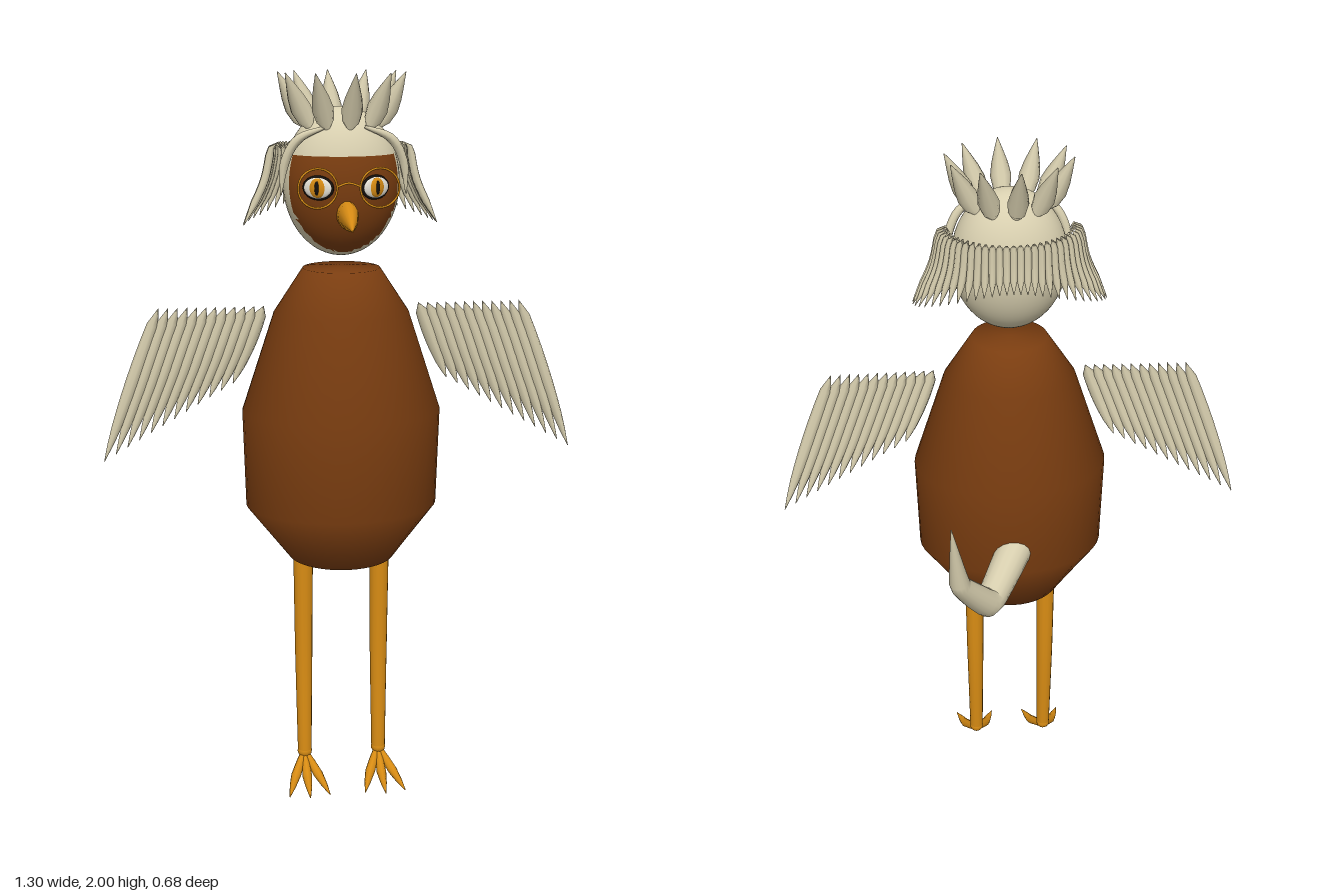
import * as THREE from 'three';

const V = (x, y, z) => new THREE.Vector3(x, y, z);
function mat(name, color) {
  const m = new THREE.MeshStandardMaterial({ color });
  m.name = name;
  return m;
}

// Round tube along points, with its radius following a list of values
function taper(points, radii, segs = 12, sides = 10, tension = 0.5) {
  const curve = new THREE.CatmullRomCurve3(points, false, 'catmullrom', tension);
  const geo = new THREE.TubeGeometry(curve, segs, 1, sides, false);
  const pos = geo.attributes.position, p = V(0, 0, 0);
  for (let i = 0; i <= segs; i++) {
    const c = curve.getPointAt(i / segs);
    const f = (i / segs) * (radii.length - 1), k = Math.min(Math.floor(f), radii.length - 2);
    const r = THREE.MathUtils.lerp(radii[k], radii[k + 1], f - k);
    for (let j = 0; j <= sides; j++) {
      const n = i * (sides + 1) + j;
      p.fromBufferAttribute(pos, n).sub(c).multiplyScalar(r).add(c);
      pos.setXYZ(n, p.x, p.y, p.z);
    }
  }
  return geo;
}

export function createModel() {
  const root = new THREE.Group();
  root.name = 'bird';
  const brown = mat('brown plumage', 0x7a3d10), cream = mat('cream feathers', 0xd9d0b0);
  const orange = mat('orange skin', 0xd88c14), white = mat('eye white', 0xf0ece0), black = mat('pupil black', 0x15100c);
  const add = (name, geo, material, parent = root) => {
    const m = new THREE.Mesh(geo, material);
    m.name = name;
    parent.add(m);
    return m;
  };
  const group = (name) => {
    const g = new THREE.Group();
    g.name = name;
    root.add(g);
    return g;
  };
  const Z = 0.115;

  // Body: a lathe whose rings are widened sideways in the middle
  const rings = [[0.68, 0.148, 0.148], [0.83, 0.265, 0.198], [1.1, 0.272, 0.212], [1.37, 0.183, 0.153], [1.49, 0.104, 0.101]];
  const profile = [new THREE.Vector2(0, 0.68), ...rings.map(r => new THREE.Vector2(r[2], r[0])), new THREE.Vector2(0, 1.49)];
  const bodyGeo = new THREE.LatheGeometry(profile, 40);
  const bp = bodyGeo.attributes.position;
  for (let i = 0; i < bp.count; i++) {
    const ring = rings.find(r => Math.abs(r[0] - bp.getY(i)) < 1e-4);
    bp.setX(i, bp.getX(i) * ring[1] / ring[2]);
  }
  bodyGeo.translate(0, 0, Z);
  add('body', bodyGeo, brown);

  // Head: ellipsoid with a face mask picked by position
  const headGeo = new THREE.SphereGeometry(1, 48, 32);
  headGeo.scale(0.155, 0.195, 0.125).translate(0, 1.718, 0.113);
  const hp = headGeo.attributes.position, skull = [], face = [], idx = headGeo.index.array;
  for (let i = 0; i < idx.length; i += 3) {
    const t = [idx[i], idx[i + 1], idx[i + 2]];
    const mean = (get) => t.reduce((s, v) => s + hp[get](v), 0) / 3;
    (mean('getZ') > 0.162 && mean('getY') < 1.79 ? face : skull).push(...t);
  }
  headGeo.setIndex([...skull, ...face]);
  headGeo.addGroup(0, skull.length, 0);
  headGeo.addGroup(skull.length, face.length, 1);
  add('head', headGeo, [cream, brown]);

  // Beak
  add('beak', taper([V(0, 1.645, 0.215), V(0, 1.643, 0.26), V(0, 1.632, 0.3), V(0, 1.615, 0.34)],
    [0.036, 0.036, 0.024, 0.001], 12, 14), orange).scale.x = 0.75;

  // Crown of spikes
  const crown = group('crown');
  for (let i = 0; i < 10; i++) {
    const a = (i + 0.2) / 10 * Math.PI * 2, s = Math.sin(a), c = Math.cos(a);
    add('crownSpike', taper([V(0.09 * s, 1.85, Z + 0.075 * c), V(0.125 * s, 1.915, Z + 0.1 * c), V(0.168 * s, 2, Z + 0.132 * c)],
      [0, 0.023, 0.028, 0.022, 0.012, 0.001], 15), cream, crown);
  }

  // Hair hanging round the back of the head, longer at the sides
  const hair = group('hair');
  const N = 31;
  for (let i = 0; i < N; i++) {
    const a = THREE.MathUtils.lerp(-1.62, 1.62, i / (N - 1)), s = Math.sin(a), c = Math.cos(a);
    const side = s * s, drop = 0.13 + 0.08 * side;
    const at = (k, y) => V((0.165 + k * side) * s, y, 0.1 - (0.125 + k * 0.15) * c);
    add('hairStrand', taper([at(-0.01, 1.8), at(0.015, 1.815), at(0.04, 1.81 - drop * 0.45), at(0.095, 1.815 - drop)],
      [0, 0.011, 0.011, 0.01, 0.001], 12, 7), cream, hair);
  }

  for (const s of [-1, 1]) {
    // Thin lock framing the face
    add('faceLock', taper([V(s * 0.05, 1.865, 0.19), V(s * 0.12, 1.835, 0.185), V(s * 0.155, 1.775, 0.175), V(s * 0.165, 1.69, 0.165)],
      [0.004, 0.012, 0.012, 0.002], 16, 8), cream, hair);

    // Eye: stacked thin discs facing along the head surface
    const eye = group(s > 0 ? 'leftEye' : 'rightEye');
    eye.position.set(s * 0.074, 1.714, 0.224);
    eye.rotation.y = s * 0.45;
    const disc = (name, rx, ry, z, m) => {
      const g = new THREE.SphereGeometry(1, 24, 12);
      g.scale(rx, ry, 0.008).translate(0, 0, z);
      add(name, g, m, eye);
    };
    disc('eyeRim', 0.043, 0.032, 0, black);
    disc('eyeWhite', 0.038, 0.027, 0.003, white);
    disc('iris', 0.023, 0.025, 0.006, orange);
    disc('pupil', 0.007, 0.019, 0.009, black);

    // Spectacle ring
    add('spectacleRing', new THREE.TorusGeometry(0.05, 0.003, 6, 32), orange).position.set(s * 0.08, 1.717, 0.265);

    // Wing: a row of feathers sweeping outwards and down
    const wing = group(s > 0 ? 'leftWing' : 'rightWing');
    for (let i = 0; i < 12; i++) {
      const t = i / 11;
      const top = V(s * (0.21 + 0.28 * t), 1.39, 0.118 - 0.006 * t);
      const tip = V(s * (0.295 + 0.355 * t), 1.175 - 0.21 * t, 0.1 - 0.002 * t);
      const mid = top.clone().lerp(tip, 0.5);
      mid.z += 0.002;
      add('feather', taper([top, mid, tip], [0, 0.016, 0.018, 0.019, 0.019, 0.018, 0.016, 0.013, 0.008, 0.001], 18, 8), cream, wing);
    }

    // Leg, ankle and three toes
    const leg = group(s > 0 ? 'leftLeg' : 'rightLeg');
    add('shin', taper([V(s * 0.108, 0.72, 0.118), V(s * 0.108, 0.38, 0.118), V(s * 0.108, 0.08, 0.13)], [0.028, 0.025, 0.02], 12, 14), orange, leg);
    add('ankle', new THREE.SphereGeometry(0.021, 14, 10), orange, leg).position.set(s * 0.108, 0.075, 0.13);
    for (const k of [-1, 0, 1]) {
      const x = s * 0.108;
      add('toe', taper([V(x, 0.07, 0.12), V(x + k * 0.035, 0.025, 0.2), V(x + k * 0.058, 0.004, 0.285 - 0.012 * Math.abs(k))],
        [0.008, 0.012, 0.014, 0.009, 0.001], 12, 8, 0.2), orange, leg);
    }
  }
  // Bridge of the spectacles
  add('spectacleBridge', taper([V(-0.032, 1.72, 0.265), V(0, 1.73, 0.265), V(0.032, 1.72, 0.265)], [0.003, 0.003], 8, 6), orange);

  // Tail curling up to its left
  add('tail', taper([V(0, 0.9, -0.06), V(0.085, 0.848, -0.235), V(0.165, 0.965, -0.307), V(0.186, 1.16, -0.327)],
    [0.05, 0.046, 0.041, 0.036, 0.028, 0.015, 0.001], 30, 16, 0.12), cream);

  return root;
}
